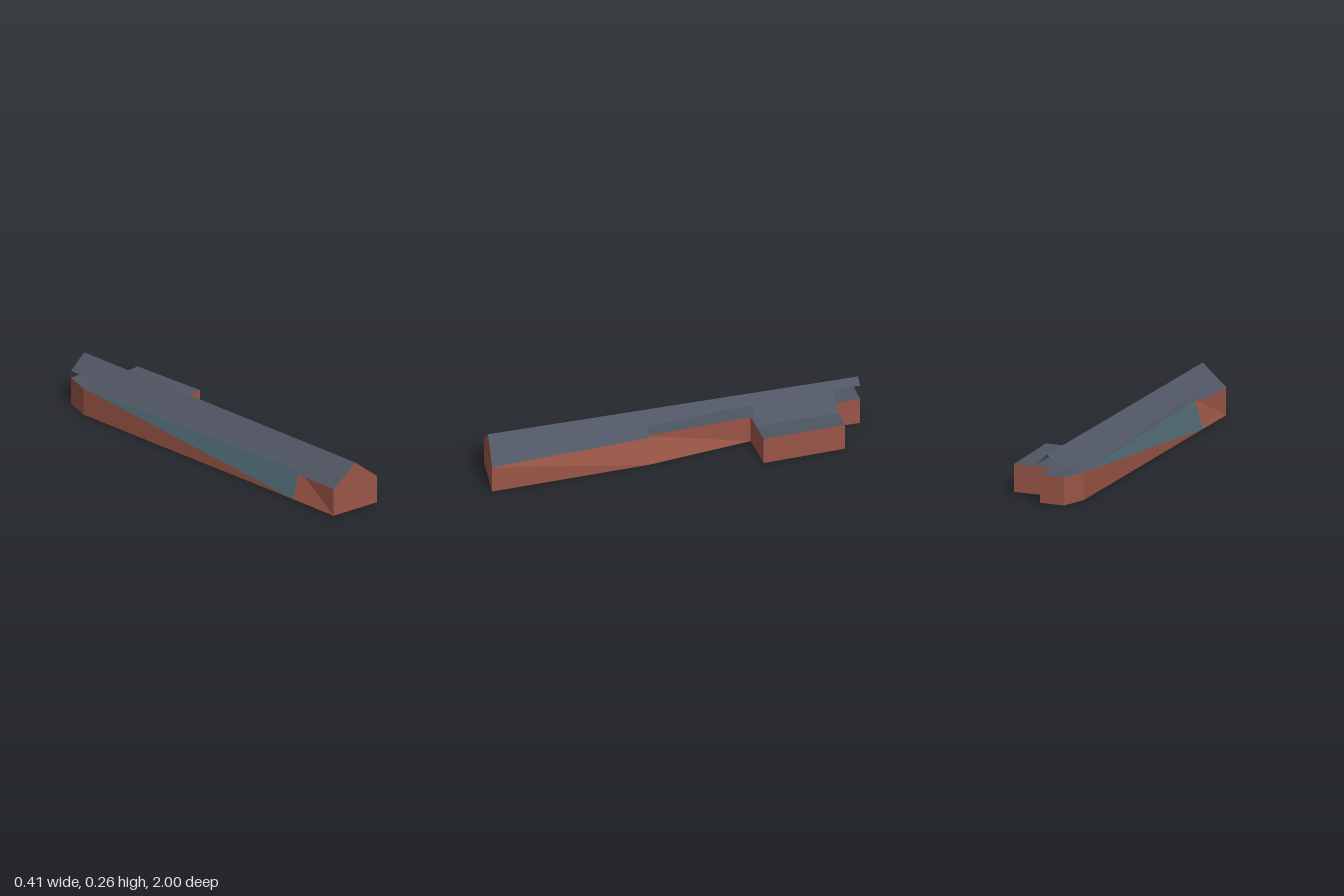
import * as THREE from 'three';

const WALL_H = 0.148, RIDGE_H = 0.262, RIDGE_X = -0.06, PITCH = 0.8;

const brick = new THREE.MeshStandardMaterial({ color: 0x9a5546, side: THREE.DoubleSide });
brick.name = 'red brick';
const slate = new THREE.MeshStandardMaterial({ color: 0x505563, side: THREE.DoubleSide });
slate.name = 'grey slate';
const glass = new THREE.MeshStandardMaterial({ color: 0x4e6873, side: THREE.DoubleSide });
glass.name = 'blue grey glass';

// Footprint corners, counterclockwise from above: [x, z, x at wall top if leaning]
const corners = [
  [-0.2, 0.965], [0.08, 1], [0.06, 0.15, 0.01], [-0.01, -0.41],
  [0.205, -0.42], [0.19, -0.86], [-0.02, -0.855], [-0.02, -1],
  [-0.155, -1], [-0.205, -0.86], [-0.2, 0.67, -0.155],
];
const GLASS_WALL = 9;

function mesh(name, geometry, material) {
  const m = new THREE.Mesh(geometry, material);
  m.name = name;
  return m;
}

// Unshared triangles give flat faces
function triangles(points) {
  const g = new THREE.BufferGeometry();
  g.setAttribute('position', new THREE.Float32BufferAttribute(points.flat(), 3));
  g.computeVertexNormals();
  return g;
}

// Upward facing sheet over an outline in x and z, lifted by a height rule
function sheet(outline, height) {
  const shape = new THREE.Shape(outline.map(([x, z]) => new THREE.Vector2(x, -z)));
  const g = new THREE.ShapeGeometry(shape).rotateX(-Math.PI / 2);
  const p = g.attributes.position;
  for (let i = 0; i < p.count; i++) p.setY(i, height(p.getX(i)));
  g.computeVertexNormals();
  return g;
}

export function createModel() {
  const group = new THREE.Group();
  group.name = 'longBuilding';

  // Walls, each split along one diagonal
  const bottom = corners.map(([x, z]) => [x, 0, z]);
  const top = corners.map(([x, z, tx]) => [tx ?? x, WALL_H, z]);
  const brickFaces = [], glassFaces = [];
  corners.forEach((_, i) => {
    const j = (i + 1) % corners.length;
    brickFaces.push(bottom[i], bottom[j], top[i]);
    (i === GLASS_WALL ? glassFaces : brickFaces).push(bottom[j], top[j], top[i]);
  });
  // Front gable
  const ridgeFront = [RIDGE_X, RIDGE_H, 0.982];
  brickFaces.push(top[0], top[1], ridgeFront);
  group.add(mesh('walls', triangles(brickFaces), brick));
  group.add(mesh('sideGlazing', triangles(glassFaces), glass));

  // Floor and flat roof
  const floorShape = new THREE.Shape(corners.map(([x, z]) => new THREE.Vector2(x, z)));
  group.add(mesh('floor', new THREE.ShapeGeometry(floorShape).rotateX(Math.PI / 2), brick));
  group.add(mesh('flatRoof', sheet(top.map(([x, , z]) => [x, z]), () => WALL_H), slate));

  // Pitched roof with stepped eaves
  const slope = (x) => RIDGE_H - PITCH * Math.abs(x - RIDGE_X);
  const rightOutline = [
    [RIDGE_X, 0.982], [0.08, 1], [0.06, 0.15], [0.01, 0.15], [-0.01, -0.415],
    [0.08, -0.415], [0.08, -0.857], [-0.02, -0.857], [-0.02, -1], [RIDGE_X, -1],
  ];
  const leftOutline = [
    [RIDGE_X, 0.982], [RIDGE_X, -1], [-0.155, -1], [-0.155, -0.86],
    [-0.2, -0.86], [-0.155, 0.67], [-0.2, 0.67], [-0.2, 0.965],
  ];
  group.add(mesh('leftSlope', sheet(rightOutline, slope), slate));
  group.add(mesh('rightSlope', sheet(leftOutline, slope), slate));

  // Tiny window on the front wall
  const pane = mesh('frontWindow', new THREE.BoxGeometry(0.008, 0.014, 0.003), glass);
  pane.position.set(-0.078, 0.116, 0.981);
  pane.rotation.y = -Math.atan2(0.035, 0.28);
  group.add(pane);

  return group;
}
